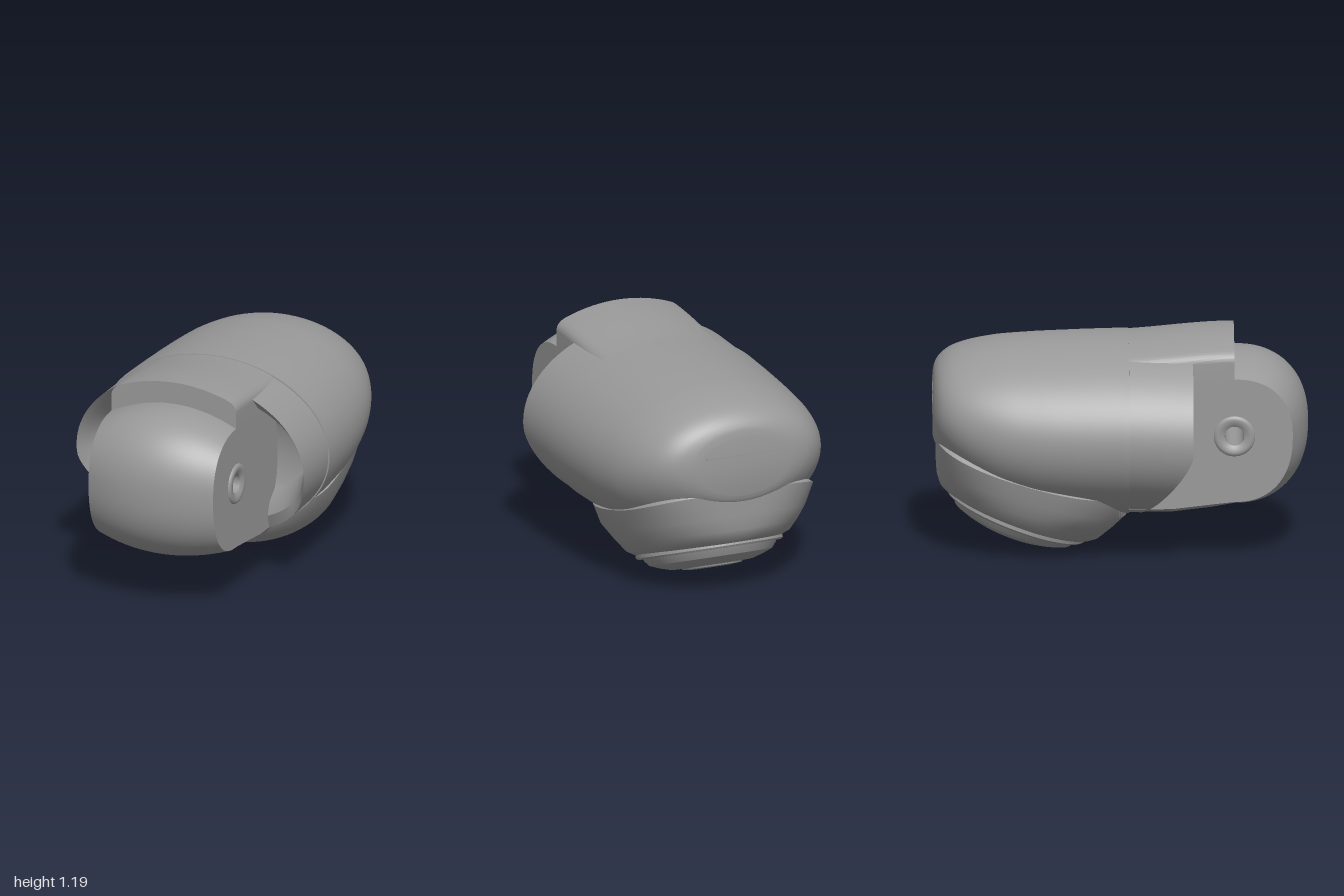
import * as THREE from 'three';
import { toCreasedNormals } from 'three/addons/utils/BufferGeometryUtils.js';

const material = new THREE.MeshStandardMaterial({ color: 0x999999 });
const backMaterial = new THREE.MeshStandardMaterial({ color: 0x999999, side: THREE.BackSide });
const V = (x, y, z) => new THREE.Vector3(x, y, z);

function add(parent, name, geometry, mat = material) {
  const mesh = new THREE.Mesh(geometry, mat);
  mesh.name = name;
  parent.add(mesh);
  return mesh;
}

// Skin closed rings of points; skip(p) leaves out quads centred at p
function loft(rings, { capStart, capEnd, skip, crease = 0.6 } = {}) {
  const n = rings[0].length, all = rings.flat(), index = [];
  for (let i = 0; i < rings.length - 1; i++) {
    for (let j = 0; j < n; j++) {
      const a = i * n + j, b = i * n + (j + 1) % n, c = a + n, d = b + n;
      const mid = V(0, 0, 0).add(all[a]).add(all[b]).add(all[c]).add(all[d]).divideScalar(4);
      if (!skip || !skip(mid)) index.push(a, b, d, a, d, c);
    }
  }
  const cap = (start, flip) => {
    const mid = V(0, 0, 0);
    for (let j = 0; j < n; j++) mid.addScaledVector(all[start + j], 1 / n);
    const m = all.push(mid) - 1;
    for (let j = 0; j < n; j++) {
      const a = start + j, b = start + (j + 1) % n;
      index.push(m, ...(flip ? [b, a] : [a, b]));
    }
  };
  if (capStart) cap(0, true);
  if (capEnd) cap((rings.length - 1) * n, false);
  const g = new THREE.BufferGeometry().setFromPoints(all);
  g.setIndex(index);
  return toCreasedNormals(g, crease);
}

// Superellipse as [cos, sin] pairs
function oval(n, power = 2) {
  return Array.from({ length: n }, (_, i) => {
    const t = (i / n) * Math.PI * 2, c = Math.cos(t), s = Math.sin(t);
    return [Math.sign(c) * Math.abs(c) ** (2 / power), Math.sign(s) * Math.abs(s) ** (2 / power)];
  });
}

// Smooth curve through rows of four numbers, sampled at count + 1 places
function resample(rows, count) {
  const a = new THREE.CatmullRomCurve3(rows.map(r => V(r[0], r[1], 0)), false, 'centripetal');
  const b = new THREE.CatmullRomCurve3(rows.map(r => V(r[2], r[3], 0)), false, 'centripetal');
  return Array.from({ length: count + 1 }, (_, i) => {
    const p = a.getPoint(i / count), q = b.getPoint(i / count);
    return [p.x, p.y, q.x, q.y];
  });
}

function buildBody(root) {
  // Rows: z, half width, top, bottom
  const rows = resample([
    [-1, 0.27, 0.93, 0.6], [-0.99, 0.32, 0.975, 0.57], [-0.96, 0.4, 1.02, 0.53],
    [-0.9, 0.475, 1.063, 0.46], [-0.8, 0.54, 1.096, 0.37], [-0.65, 0.595, 1.122, 0.28],
    [-0.45, 0.63, 1.136, 0.22], [-0.2, 0.65, 1.146, 0.195], [0.04, 0.66, 1.152, 0.19],
  ], 40);
  rows.push([0.041, 0.64, 1.132, 0.21]);
  const rings = rows.map(([z, w, top, bottom]) =>
    oval(96).map(([c, s]) => V(w * c, (top + bottom) / 2 + s * (top - bottom) / 2, z)));
  add(root, 'body', loft(rings, { capStart: true, crease: 0.9 }));

  const slot = add(root, 'backSlot', new THREE.BoxGeometry(0.44, 0.01, 0.03));
  slot.position.set(0, 0.83, -0.987);
}

function buildCollar(root) {
  // The lower part of the rim sweeps back
  const rimZ = y => 0.38 - 0.3 * Math.max(0, (0.62 - y) / 0.43) ** 1.3;
  const ellipse = (w, h, z) => oval(96).map(([c, s]) => {
    const y = 0.67 + h * s;
    return V(w * c, y, z(y));
  });
  const between = k => y => 0.08 + (rimZ(y) - 0.08) * k;
  const rings = [
    ellipse(0.652, 0.473, () => 0.02), ellipse(0.657, 0.477, rimZ),
    ellipse(0.625, 0.4, between(0.75)), ellipse(0.59, 0.32, between(0.35)),
    ellipse(0.56, 0.265, () => 0.08),
    ellipse(0.45, 0.21, () => 0.05), ellipse(0.25, 0.12, () => 0.03),
  ];
  add(root, 'collar', loft(rings, { capEnd: true }));
}

function buildHead(root) {
  const head = new THREE.Group();
  head.name = 'head';
  root.add(head);
  const half = 0.36, axisY = 0.67, axisZ = 0.6;

  // Side outline, fullest on the centre line
  const outline = x => {
    const f = 1 - (x / half) ** 2, points = [];
    const top = 0.31 + 0.09 * f, low = 0.36 + 0.06 * f, front = 0.31 + 0.085 * f;
    for (const z of [0.02, 0.25, 0.45]) points.push(V(x, axisY + top, z));
    for (let i = 0; i <= 40; i++) {
      const t = (i / 40) * Math.PI, c = Math.cos(t), s = Math.max(0, Math.sin(t));
      const k = Math.sign(c) * Math.abs(c) ** 0.87;
      points.push(V(x, axisY + k * (c > 0 ? top : low), axisZ + front * s ** 0.87));
    }
    for (const [z, y] of [[0.48, 0.222], [0.27, 0.197], [0.02, 0.195]])
      points.push(V(x, y + 0.075 * (1 - f), z));
    return points;
  };
  const xs = Array.from({ length: 19 }, (_, i) => -half + i * 0.04);
  add(head, 'headSkin', loft(xs.map(outline), {
    skip: p => Math.abs(p.x) < 0.16 && p.y < 0.24 && p.z > 0.27 && p.z < 0.48,
  }));

  // Recess under the head, its mouth following the skin
  const recess = new THREE.BoxGeometry(0.32, 0.1, 0.21, 8, 1, 1).translate(0, 0.26, 0.375);
  const p = recess.attributes.position;
  for (let i = 0; i < p.count; i++) {
    if (p.getY(i) < 0.25)
      p.setY(i, 0.197 + 0.075 * (p.getX(i) / half) ** 2 + (p.getZ(i) - 0.27) * 0.119);
  }
  add(head, 'lowerRecess', recess, backMaterial);

  // Flat cheeks with a pivot hole and a soft raised ring
  for (const side of [1, -1]) {
    const shape = new THREE.Shape(outline(half).map(q => new THREE.Vector2(-side * q.z, q.y)));
    const hole = new THREE.Path();
    hole.absarc(-side * axisZ, axisY, 0.052, 0, Math.PI * 2, true);
    shape.holes.push(hole);
    const cheek = add(head, side > 0 ? 'leftCheek' : 'rightCheek', new THREE.ShapeGeometry(shape, 24));
    cheek.rotation.y = side * Math.PI / 2;
    cheek.position.x = side * half;

    const profile = [[0.11, 0], [0.104, 0.011], [0.09, 0.014], [0.07, 0.011], [0.052, 0]];
    const boss = add(head, side > 0 ? 'leftPivotRing' : 'rightPivotRing',
      new THREE.LatheGeometry(profile.map(q => new THREE.Vector2(...q)), 40));
    boss.rotation.z = -side * Math.PI / 2;
    boss.position.set(side * half, axisY, axisZ);
  }
  const bore = add(head, 'pivotBore', new THREE.CylinderGeometry(0.052, 0.052, 2 * half, 32, 1, true), backMaterial);
  bore.rotation.z = Math.PI / 2;
  bore.position.set(0, axisY, axisZ);
}

function buildHood(root) {
  // Crowned slab that slopes down toward the body
  const s = new THREE.Shape();
  s.moveTo(-0.36, 0.95);
  s.lineTo(0.36, 0.95);
  s.lineTo(0.36, 1.07);
  s.quadraticCurveTo(0.36, 1.11, 0.31, 1.132);
  s.quadraticCurveTo(0.16, 1.19, 0, 1.19);
  s.quadraticCurveTo(-0.16, 1.19, -0.31, 1.132);
  s.quadraticCurveTo(-0.36, 1.11, -0.36, 1.07);
  const g = new THREE.ExtrudeGeometry(s, { depth: 0.6, steps: 8, bevelEnabled: false, curveSegments: 12 });
  const p = g.attributes.position;
  for (let i = 0; i < p.count; i++) {
    const k = THREE.MathUtils.smoothstep(p.getZ(i), -0.1, 0.6);
    if (p.getY(i) > 1) p.setY(i, p.getY(i) - 0.046 * (1 - k));
  }
  add(root, 'hood', toCreasedNormals(g, 0.6));
}

function buildPod(root) {
  // Rows: front z and y, back z and y, half width, squareness, sag at mid length
  const rows = [
    [-0.15, 0.035, -0.92, 0.31, 0.39, 2, 0],
    [-0.11, 0.05, -0.965, 0.345, 0.43, 2.1, 0],
    [-0.035, 0.12, -0.98, 0.4, 0.47, 2.4, 0],
    [0.035, 0.2, -0.985, 0.48, 0.5, 2.9, 0.015],
    [0.03, 0.33, -0.985, 0.62, 0.525, 3.6, 0.05],
    [0, 0.38, -0.95, 0.66, 0.46, 3.6, 0.05],
  ];
  const rings = rows.map(([fz, fy, bz, by, w, power, sag]) => oval(96, power).map(([c, s]) =>
    V(w * s, (fy + by) / 2 + c * (fy - by) / 2 - sag * (1 - c * c), (fz + bz) / 2 + c * (fz - bz) / 2)));
  add(root, 'lowerPod', loft(rings, { capStart: true, crease: 0.7 }));

  // Stepped round cover on the tilted underside
  const profile = [[0, -0.095], [0.1, -0.094], [0.16, -0.088], [0.17, -0.07], [0.19, -0.07], [0.2, -0.08],
    [0.22, -0.078], [0.28, -0.06], [0.33, -0.04], [0.35, -0.015], [0.36, 0], [0.385, 0], [0.395, 0.01], [0.395, 0.05]];
  const cover = add(root, 'roundCover', toCreasedNormals(
    new THREE.LatheGeometry(profile.map(p => new THREE.Vector2(...p)), 64), 0.5));
  cover.rotation.x = 0.36;
  cover.position.set(0, 0.153, -0.56);
}

export function createModel() {
  const root = new THREE.Group();
  root.name = 'capsuleDevice';
  buildBody(root);
  buildCollar(root);
  buildHead(root);
  buildHood(root);
  buildPod(root);
  return root;
}
